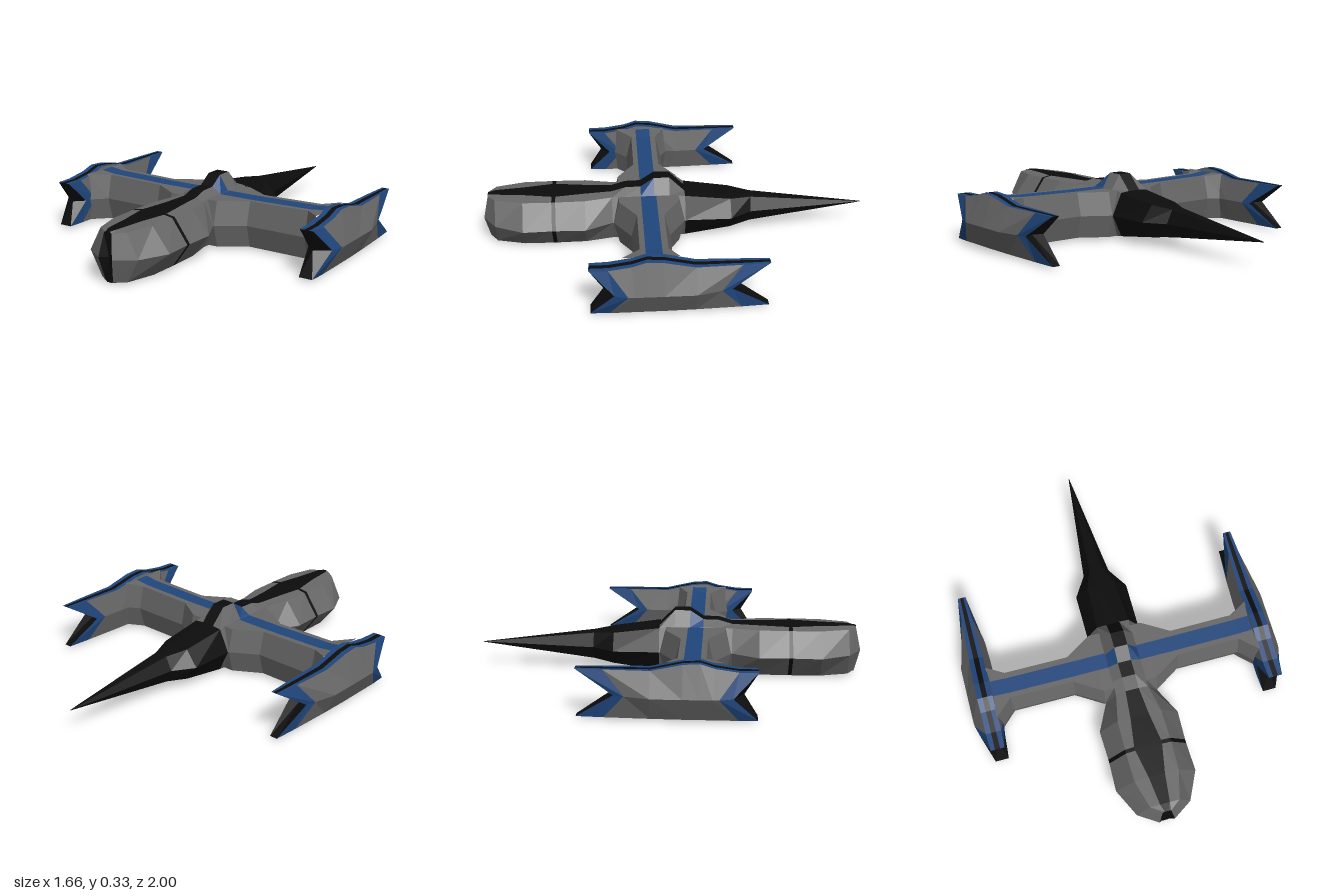
import * as THREE from 'three';

const mat = (name, hex, side = THREE.FrontSide) => {
  const m = new THREE.MeshStandardMaterial({ color: hex, side });
  m.name = name;
  return m;
};

const MID = 0.135; // height of the widest edge, shared by all hulls

// Skin a list of rings with flat faces, one mesh per colour.
// colour(i, k) picks the material for band k between rings i and i + 1.
function loft(name, rings, colour, { front, rear, capMat, mirror = false } = {}) {
  const buckets = new Map();
  const tri = (m, a, b, c) => {
    if (!buckets.has(m)) buckets.set(m, []);
    const corners = mirror ? [a, c, b] : [a, b, c];
    for (const [x, y, z] of corners) buckets.get(m).push(mirror ? -x : x, y, z);
  };
  const n = rings[0].length;
  for (let i = 0; i + 1 < rings.length; i++) {
    for (let k = 0; k < n; k++) {
      const j = (k + 1) % n, a = rings[i], b = rings[i + 1], m = colour(i, k);
      tri(m, a[k], b[k], b[j]);
      tri(m, a[k], b[j], a[j]);
    }
  }
  const last = rings[rings.length - 1];
  for (let k = 0; k < n; k++) {
    const j = (k + 1) % n;
    if (front) tri(capMat, front, rings[0][k], rings[0][j]);
    if (rear) tri(capMat, rear, last[j], last[k]);
  }
  const group = new THREE.Group();
  group.name = name;
  for (const [m, points] of buckets) {
    const geo = new THREE.BufferGeometry();
    geo.setAttribute('position', new THREE.Float32BufferAttribute(points, 3));
    geo.computeVertexNormals();
    const mesh = new THREE.Mesh(geo, m);
    mesh.name = `${name} ${m.name}`;
    group.add(mesh);
  }
  return group;
}

export function createModel() {
  const grey = mat('hull grey', 0x666666);
  const black = mat('black', 0x0c0c0c);
  const blue = mat('blue', 0x20467c);
  const model = new THREE.Group();
  model.name = 'starfighter';

  // Fuselage: z, stripe half width, shoulder half width, full half width,
  // stripe height, shoulder height
  const stations = [
    [0.975, 0.012, 0.022, 0.04, 0.258, 0.25],
    [0.935, 0.025, 0.075, 0.14, 0.262, 0.255],
    [0.79, 0.042, 0.115, 0.21, 0.263, 0.255],
    [0.642, 0.07, 0.118, 0.205, 0.263, 0.255],
    [0.622, 0.07, 0.118, 0.205, 0.263, 0.255],
    [0.47, 0.048, 0.115, 0.21, 0.263, 0.255],
    [0.33, 0.035, 0.085, 0.14, 0.265, 0.255],
    [0.26, 0.035, 0.085, 0.14, 0.286, 0.257],
    [0.18, 0.035, 0.085, 0.14, 0.288, 0.257],
    [0.11, 0.035, 0.085, 0.14, 0.335, 0.257],
    [0.03, 0.035, 0.085, 0.14, 0.335, 0.257],
    [-0.05, 0.035, 0.085, 0.14, 0.255, 0.25],
    [-0.29, 0.035, 0.075, 0.14, 0.222, 0.218],
    [-0.40, 0.018, 0.036, 0.07, 0.208, 0.205],
    [-1.0, 0.001, 0.0015, 0.002, 0.136, 0.136],
  ];
  const bodyRings = stations.map(([z, s, f, w, top, yf], i) => {
    const zm = i === 0 ? 1.0 : z;
    const bottom = 2 * MID - Math.min(top, 0.265);
    const yb = 2 * MID - yf;
    return [
      [s, top, z], [-s, top, z], [-f, yf, z], [-w, MID, zm], [-f, yb, z],
      [-s, bottom, z], [s, bottom, z], [f, yb, z], [w, MID, zm], [f, yf, z],
    ];
  });
  const bodyColour = (i, k) => {
    if (k === 0 || k === 5) return black;           // spine and belly stripe
    if (i === 3 || i >= 11) return black;           // panel line and tail spike
    if (i === 8 && (k === 1 || k === 9)) return blue; // canopy sides
    return grey;
  };
  model.add(loft('fuselage', bodyRings, bodyColour,
    { front: [0, MID, 0.972], rear: [0, MID, -1.0], capMat: black }));

  // Wing beam, tip to root: x, rear z, front z, top height
  const wingRings = [
    [0.70, -0.01, 0.325, 0.273],
    [0.61, 0.04, 0.237, 0.262],
    [0.28, 0.04, 0.237, 0.256],
    [0.14, -0.045, 0.325, 0.256],
    [0.08, -0.045, 0.325, 0.256],
  ].map(([x, zb, zf, yt]) => {
    const tb = zb + 0.03, tf = zf - 0.03, yb = 0.017;
    return [
      [x, MID, zb], [x, yt, tb], [x, yt, 0.1], [x, yt, 0.18],
      [x, yt, tf], [x, MID, zf], [x, yb, tf], [x, yb, tb],
    ];
  });
  const wingColour = (i, k) => (k === 2 ? blue : grey);

  // Wingtip pod: edge z, middle z, edge half width, outer x, inner x, top height
  const CX = 0.735;
  const podRings = [
    [0.45, 0.335, 0.035, 0.81, 0.685, 0.252],
    [0.36, 0.27, 0.04, 0.828, 0.675, 0.252],
    [0.25, 0.24, 0.04, 0.83, 0.67, 0.268],
    [0.18, 0.18, 0.04, 0.83, 0.67, 0.29],
    [0.10, 0.10, 0.04, 0.83, 0.67, 0.285],
    [-0.05, -0.05, 0.037, 0.83, 0.67, 0.252],
    [-0.27, -0.17, 0.028, 0.80, 0.675, 0.252],
    [-0.40, -0.22, 0.02, 0.785, 0.685, 0.252],
  ].map(([z, zm, h, xo, xi, yt]) => {
    const yb = 0.017, c = Math.min(0.013, h * 0.4);
    return [
      [CX + h, yt, z], [CX + c, yt, z], [CX - c, yt, z], [CX - h, yt, z],
      [xi, MID, zm],
      [CX - h, yb, z], [CX - c, yb, z], [CX + c, yb, z], [CX + h, yb, z],
      [xo, MID, zm],
    ];
  });
  const podColour = (i, k) => {
    if (k === 1 || k === 6) return black;           // centre stripes
    if (k === 0 || k === 2 || k === 5 || k === 7) return blue;
    return i === 0 || i === 6 ? blue : grey;        // chevrons at both ends
  };

  for (const mirror of [false, true]) {
    const side = mirror ? 'right' : 'left';
    model.add(loft(`${side} wing`, wingRings, wingColour, { mirror }));
    model.add(loft(`${side} wingtip pod`, podRings, podColour, {
      front: [CX, MID, 0.385], rear: [CX, MID, -0.2], capMat: black, mirror,
    }));
  }
  return model;
}
